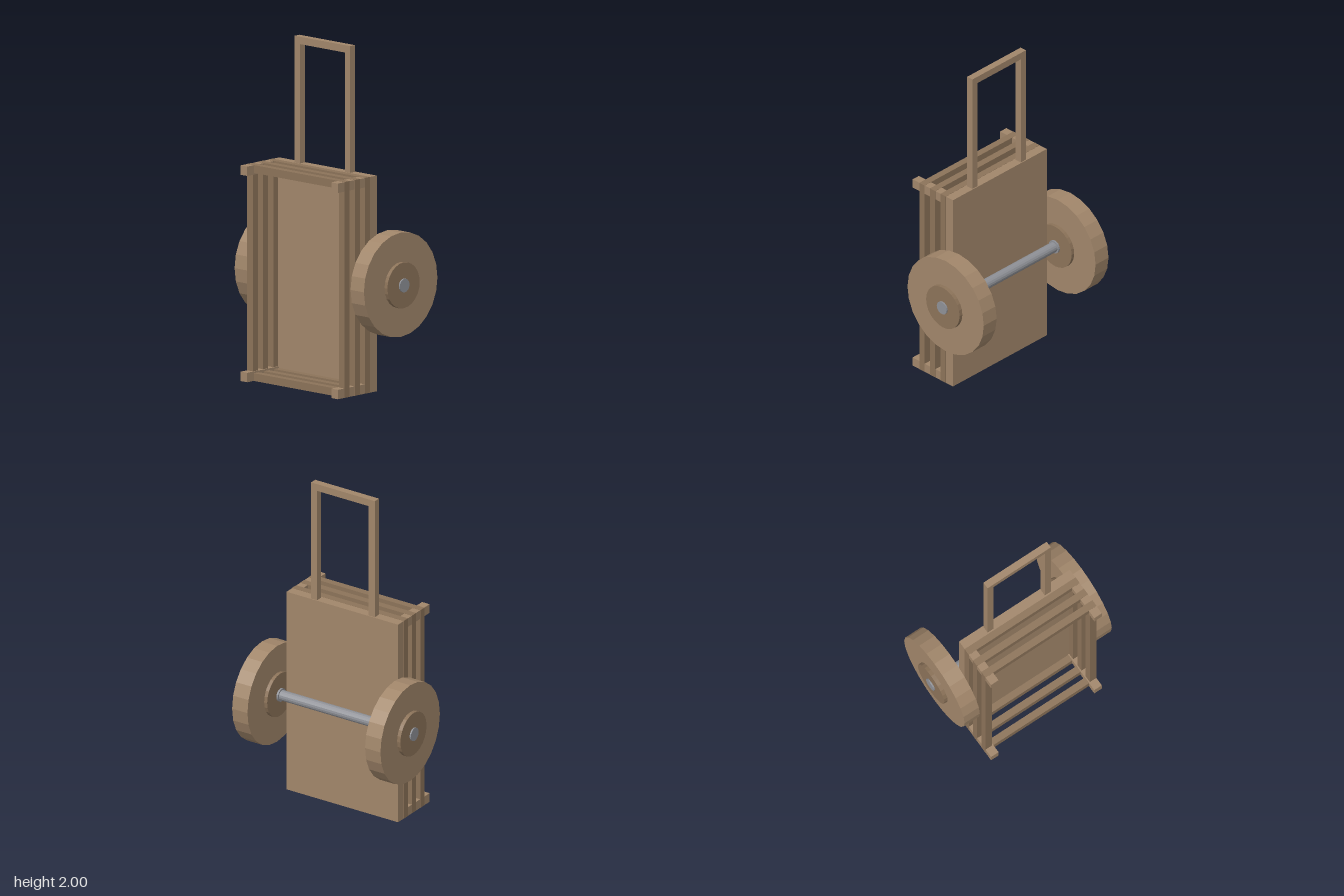
import * as THREE from 'three';

const mat = (color) => new THREE.MeshStandardMaterial({ color, flatShading: true });

export function createModel() {
  const cart = new THREE.Group();
  cart.name = 'handCart';
  const wood = mat(0xa1866a), darkWood = mat(0x8c7359), steel = mat(0x8e9096);

  // Box given by its minimum and maximum corners
  const box = (name, m, [x0, y0, z0], [x1, y1, z1], parent = cart) => {
    const mesh = new THREE.Mesh(new THREE.BoxGeometry(x1 - x0, y1 - y0, z1 - z0), m);
    mesh.position.set((x0 + x1) / 2, (y0 + y1) / 2, (z0 + z1) / 2);
    mesh.name = name;
    parent.add(mesh);
  };
  // Cylinder lying along x on the axle line
  const AXLE_Y = 0.63, AXLE_Z = -0.043;
  const disc = (name, m, r, x, length, sides, parent = cart) => {
    const geo = new THREE.CylinderGeometry(r, r, length, sides).rotateZ(Math.PI / 2);
    const mesh = new THREE.Mesh(geo, m);
    mesh.position.set(x, AXLE_Y, AXLE_Z);
    mesh.name = name;
    parent.add(mesh);
  };

  const W = 0.385, H = 1.26;

  // Bed board
  box('bedBoard', wood, [-W, 0, 0.022], [W, H, 0.08]);

  // Corner posts, projecting past the rails
  for (const s of [-1, 1]) {
    const [x0, x1] = s < 0 ? [-W, -0.333] : [0.333, W];
    box('cornerPost', wood, [x0, 0, 0.08], [x1, 0.055, 0.345]);
    box('cornerPost', wood, [x0, H - 0.055, 0.08], [x1, H, 0.345]);
  }

  // Three rings of rails round the bed, a hair proud of the posts
  const e = 0.001, T = 0.045;
  for (const z of [0.079, 0.163, 0.248]) {
    const ring = new THREE.Group();
    ring.name = 'railRing';
    const z1 = z + 0.042;
    box('endRail', darkWood, [-W - e, -e + 0.001, z], [W + e, T, z1], ring);
    box('endRail', darkWood, [-W - e, H - T, z], [W + e, H + e, z1], ring);
    box('sideRail', darkWood, [-W - e, T, z], [-W + T, H - T, z1], ring);
    box('sideRail', darkWood, [W - T, T, z], [W + e, H - T, z1], ring);
    cart.add(ring);
  }

  // Pull handle
  const handle = new THREE.Group();
  handle.name = 'handle';
  box('handleArm', wood, [-0.22, H, 0.028], [-0.178, 1.957, 0.07], handle);
  box('handleArm', wood, [0.178, H, 0.028], [0.22, 1.957, 0.07], handle);
  box('handleGrip', wood, [-0.22, 1.957, 0.028], [0.22, 2, 0.07], handle);
  cart.add(handle);

  // Axle and wheels
  disc('axle', steel, 0.031, 0, 0.8, 16);
  for (const s of [-1, 1]) {
    const wheel = new THREE.Group();
    wheel.name = s > 0 ? 'leftWheel' : 'rightWheel';
    disc('tread', wood, 0.305, s * 0.459, 0.106, 24, wheel);
    disc('hub', darkWood, 0.134, s * 0.46, 0.15, 24, wheel);
    disc('axleCap', steel, 0.04, s * 0.459, 0.17, 16, wheel);
    cart.add(wheel);
  }
  return cart;
}
